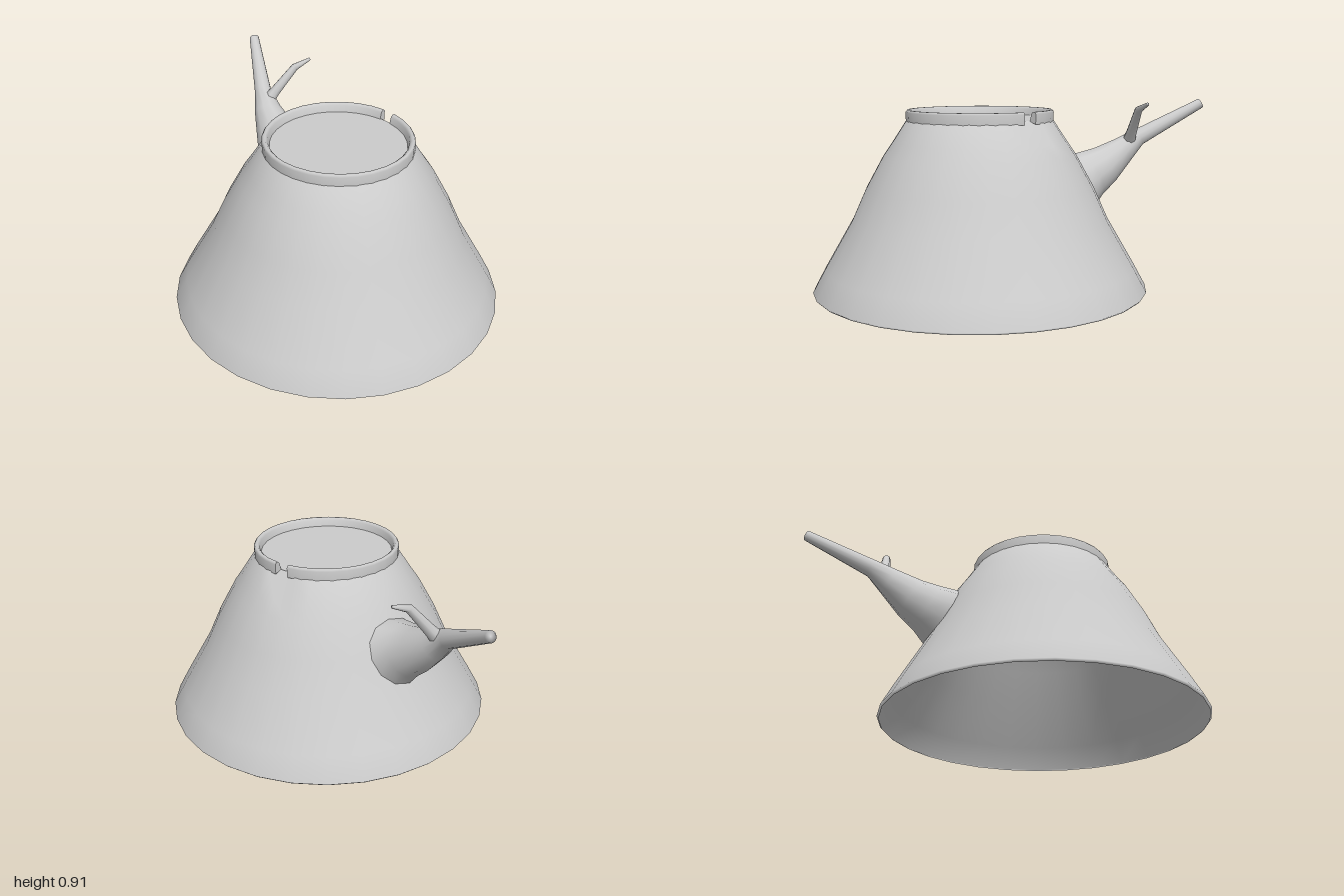
import * as THREE from 'three';
import { mergeVertices } from 'three/addons/utils/BufferGeometryUtils.js';

const CX = 0.185;               // axis of the stump
const SEG = 30;
const NOTCH = Math.PI + 0.1;    // angle of the split in the rim
const GAP = 0.19;               // width of the split in radians
const PROFILE = [[0.8, 0], [0.81, 0.01], [0.75, 0.12], [0.62, 0.345], [0.55, 0.5],
  [0.465, 0.655], [0.42, 0.72], [0.355, 0.82], [0.325, 0.83]];

const material = new THREE.MeshStandardMaterial({ color: 0xcccccc, side: THREE.DoubleSide });
const v2 = (list) => list.map(([x, y]) => new THREE.Vector2(x, y));

function part(name, geometry) {
  const mesh = new THREE.Mesh(geometry, material);
  mesh.name = name;
  return mesh;
}

// Radius of the stump wall at height y
function wallRadius(y) {
  for (let i = 1; i < PROFILE.length - 1; i++) {
    const [r0, y0] = PROFILE[i], [r1, y1] = PROFILE[i + 1];
    if (y <= y1) return THREE.MathUtils.mapLinear(y, y0, y1, r0, r1);
  }
  return 0.355;
}

// Flared hollow trunk with a groove running down from the split
function trunkGeometry() {
  let g = new THREE.LatheGeometry(v2(PROFILE), SEG, NOTCH, Math.PI * 2);
  const p = g.attributes.position;
  const n = PROFILE.length;
  for (const column of [0, SEG]) {
    for (let j = n - 3; j < n; j++) {
      const i = column * n + j;
      const k = [0.985, 0.89, 0.95][j - n + 3];
      p.setXYZ(i, p.getX(i) * k, p.getY(i), p.getZ(i) * k);
    }
  }
  g.deleteAttribute('uv');
  g.deleteAttribute('normal');
  g = mergeVertices(g, 1e-4);
  g.computeVertexNormals();
  return g;
}

// Tapering limb through stations [x, y, z, radius]; the root may follow the trunk wall
function limbGeometry(stations, sides, onWall) {
  const centres = stations.map(([x, y, z]) => new THREE.Vector3(x, y, z));
  const pos = [], index = [];
  const last = stations.length - 1;
  centres.forEach((c, i) => {
    const dir = centres[Math.min(i + 1, last)].clone().sub(centres[Math.max(i - 1, 0)]).normalize();
    const side = new THREE.Vector3(0, 1, 0).cross(dir).normalize();
    const up = dir.clone().cross(side);
    for (let j = 0; j < sides; j++) {
      const a = j / sides * Math.PI * 2, r = stations[i][3];
      const v = c.clone().addScaledVector(side, r * Math.cos(a)).addScaledVector(up, r * Math.sin(a));
      if (onWall && i === 0) {
        const k = wallRadius(v.y) / Math.hypot(v.x - CX, v.z);
        v.x = CX + (v.x - CX) * k;
        v.z *= k;
      }
      pos.push(v.x, v.y, v.z);
      if (i < last) {
        const p = i * sides + j, q = i * sides + (j + 1) % sides;
        index.push(p, q, p + sides, q, q + sides, p + sides);
      }
    }
  });
  // closed tip
  const tip = pos.length / 3;
  pos.push(...centres[last].toArray());
  for (let j = 0; j < sides; j++) index.push(tip, last * sides + j, last * sides + (j + 1) % sides);
  const g = new THREE.BufferGeometry();
  g.setAttribute('position', new THREE.Float32BufferAttribute(pos, 3));
  g.setIndex(index);
  g.computeVertexNormals();
  return g;
}

export function createModel() {
  const model = new THREE.Group();
  model.name = 'treeStump';

  // Trunk, rim and cut face share one axis
  const stump = new THREE.Group();
  stump.name = 'stump';
  stump.position.x = CX;
  stump.add(part('trunk', trunkGeometry()));

  const rim = v2([[0.355, 0.815], [0.356, 0.862], [0.349, 0.872], [0.338, 0.872], [0.328, 0.862], [0.32, 0.828]]);
  stump.add(part('barkRim', new THREE.LatheGeometry(rim, SEG, NOTCH + GAP / 2, Math.PI * 2 - GAP)));
  for (const s of [-1, 1]) {
    const end = new THREE.ShapeGeometry(new THREE.Shape(rim));
    end.rotateY(NOTCH + s * GAP / 2 - Math.PI / 2);
    stump.add(part('rimEnd', end));
  }

  const face = part('cutFace', new THREE.CircleGeometry(0.326, SEG));
  face.rotation.x = -Math.PI / 2;
  face.position.y = 0.831;
  stump.add(face);
  model.add(stump);

  // Side branch and its twig
  model.add(part('branch', limbGeometry([
    [-0.36, 0.49, -0.1, 0.165], [-0.42, 0.525, -0.105, 0.128], [-0.5, 0.568, -0.13, 0.105],
    [-0.6, 0.638, -0.155, 0.073], [-0.69, 0.708, -0.19, 0.045], [-0.985, 0.882, -0.345, 0.026],
  ], 12, true)));
  model.add(part('twig', limbGeometry([
    [-0.635, 0.665, -0.165, 0.04], [-0.61, 0.735, -0.22, 0.028],
    [-0.565, 0.86, -0.315, 0.02], [-0.543, 0.892, -0.4, 0.008],
  ], 8, false)));
  return model;
}
